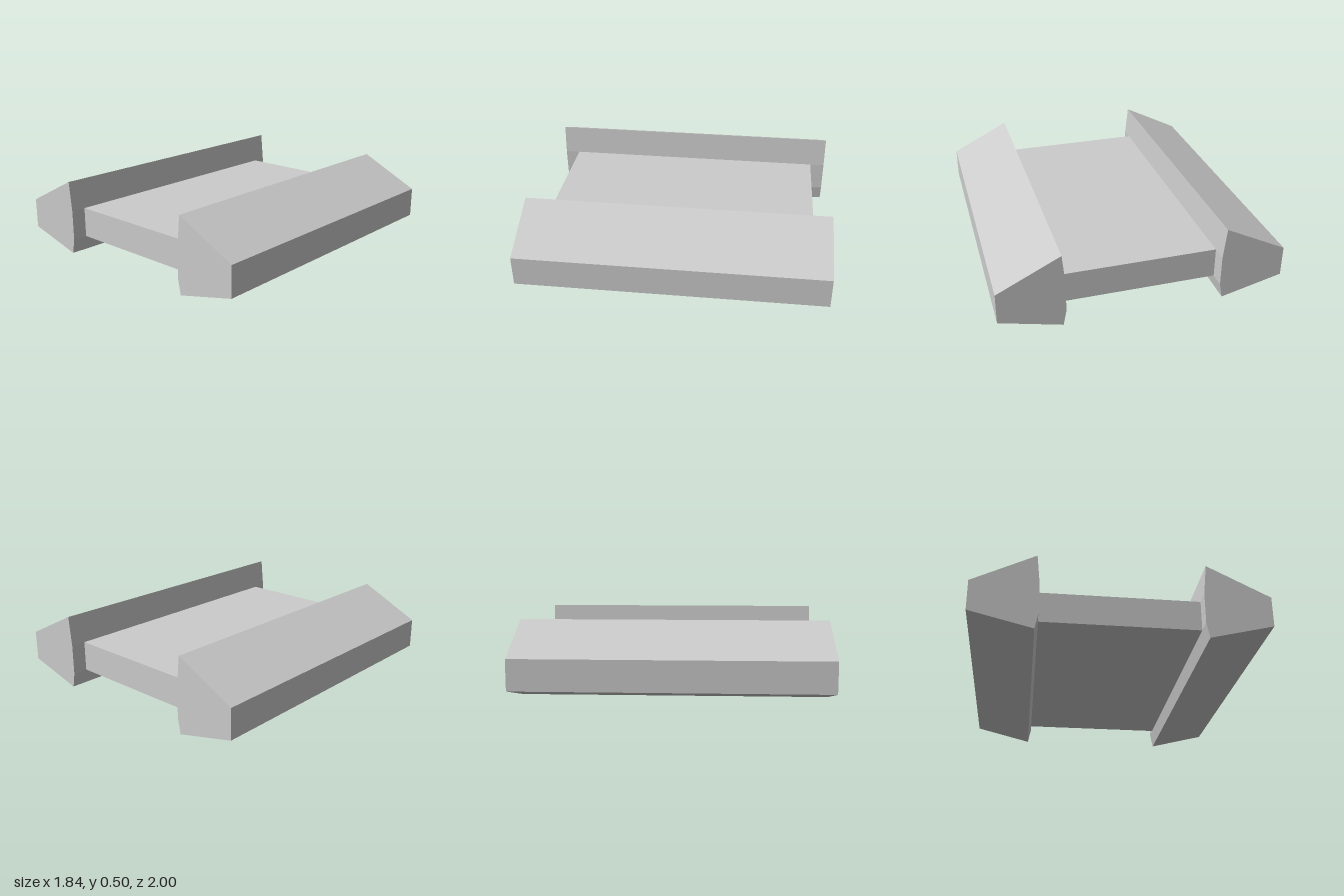
import * as THREE from 'three';

export function createModel() {
  const model = new THREE.Group();
  const material = new THREE.MeshStandardMaterial({ color: 0xcccccc, flatShading: true });

  // Flat centre slab, slightly shorter than the rails
  const slab = new THREE.Mesh(new THREE.BoxGeometry(1, 0.2, 1.8), material);
  slab.name = 'centreSlab';
  slab.position.y = 0.2;
  model.add(slab);

  // Six-sided rail section, extruded along z
  const section = new THREE.Shape([
    [0.5, 0.1], [0.52, 0], [0.92, 0.1], [0.92, 0.3], [0.52, 0.5], [0.5, 0.3],
  ].map(([x, y]) => new THREE.Vector2(x, y)));
  const railGeometry = new THREE.ExtrudeGeometry(section, { depth: 2, bevelEnabled: false });
  railGeometry.translate(0, 0, -1);

  // The rail is symmetric in z, so a half turn gives the opposite side
  for (const [name, turn] of [['leftRail', 0], ['rightRail', Math.PI]]) {
    const rail = new THREE.Mesh(railGeometry, material);
    rail.name = name;
    rail.rotation.y = turn;
    model.add(rail);
  }

  return model;
}
